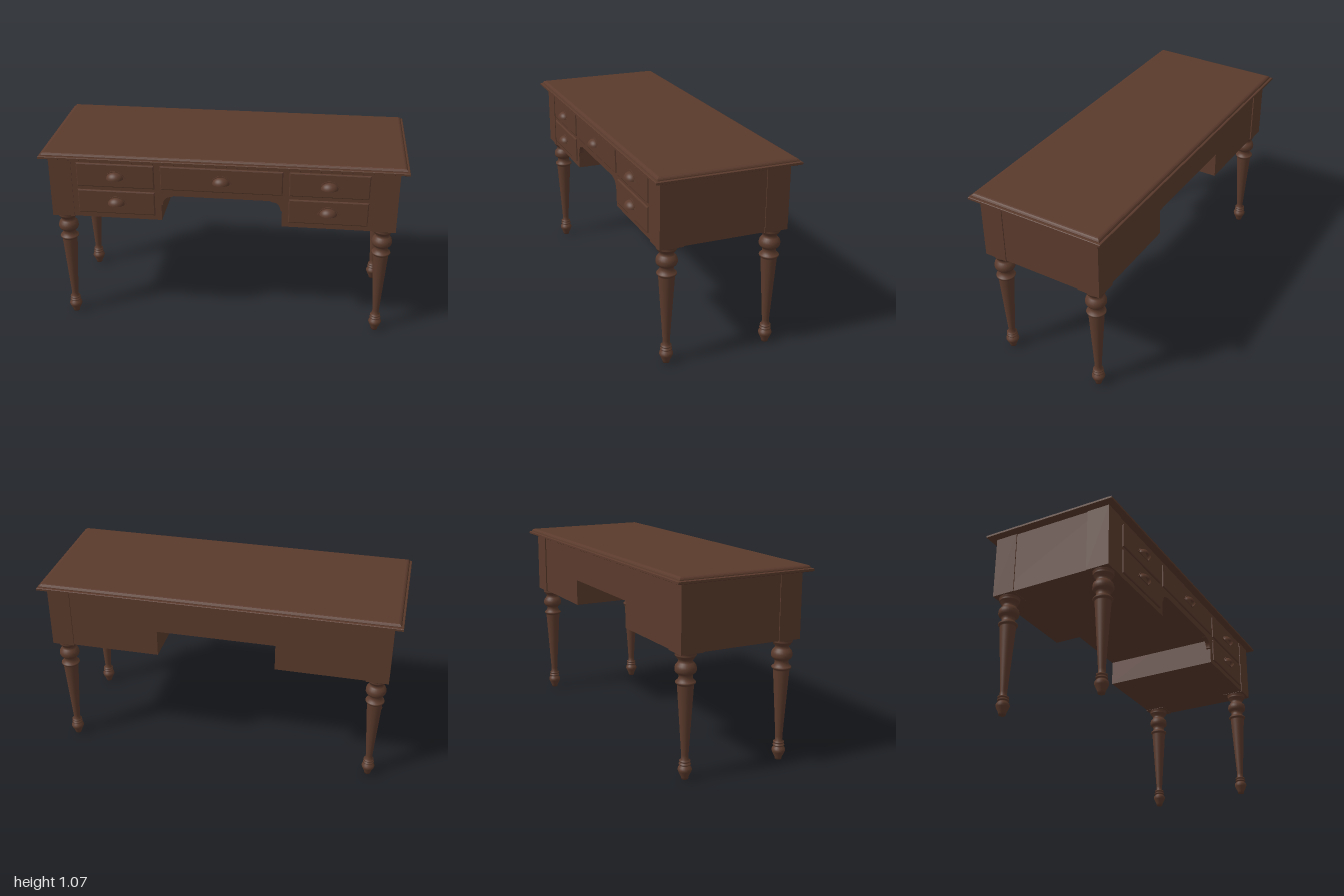
import * as THREE from 'three';

const wood = new THREE.MeshStandardMaterial({ color: 0x5a3a2c });
wood.name = 'darkWood';
const shellWood = new THREE.MeshStandardMaterial({ color: 0x5a3a2c, side: THREE.DoubleSide });
shellWood.name = 'darkWoodShell';

function add(parent, name, geometry, x = 0, y = 0, z = 0, material = wood) {
  const mesh = new THREE.Mesh(geometry, material);
  mesh.name = name;
  mesh.position.set(x, y, z);
  parent.add(mesh);
  return mesh;
}

// Box given by its limits on each axis
function addBox(parent, name, [x0, x1], [y0, y1], [z0, z1]) {
  return add(parent, name, new THREE.BoxGeometry(x1 - x0, y1 - y0, z1 - z0),
    (x0 + x1) / 2, (y0 + y1) / 2, (z0 + z1) / 2);
}

// Moulded slab: rectangular loops of [inset, y], mitred at the corners, capped at both ends
function mouldedSlab(halfX, halfZ, profile) {
  const pos = [];
  const loops = profile.map(([inset, y]) => {
    const x = halfX - inset, z = halfZ - inset;
    return [[-x, y, z], [x, y, z], [x, y, -z], [-x, y, -z]];
  });
  const quad = (a, b, c, d) => pos.push(...a, ...b, ...c, ...a, ...c, ...d);
  for (let i = 0; i < loops.length - 1; i++) {
    for (let k = 0; k < 4; k++) {
      const n = (k + 1) % 4;
      quad(loops[i][k], loops[i][n], loops[i + 1][n], loops[i + 1][k]);
    }
  }
  quad(...loops[loops.length - 1]);
  quad(...[...loops[0]].reverse());
  const geo = new THREE.BufferGeometry();
  geo.setAttribute('position', new THREE.Float32BufferAttribute(pos, 3));
  geo.computeVertexNormals();
  return geo;
}

// Turned leg, [radius, y] from foot to top
const legProfile = [
  [0, 0], [0.018, 0], [0.02, 0.012], [0.034, 0.042], [0.037, 0.052], [0.034, 0.064],
  [0.025, 0.072], [0.025, 0.076], [0.031, 0.079], [0.031, 0.084], [0.024, 0.088],
  [0.024, 0.092], [0.029, 0.095], [0.029, 0.101], [0.019, 0.106], [0.019, 0.13],
  [0.043, 0.5], [0.043, 0.506], [0.051, 0.511], [0.053, 0.516], [0.051, 0.521],
  [0.042, 0.526], [0.036, 0.54], [0.036, 0.552], [0.041, 0.56], [0.051, 0.567],
  [0.056, 0.578], [0.056, 0.592], [0.052, 0.606], [0.042, 0.617], [0.037, 0.624],
  [0.038, 0.635], [0.046, 0.641], [0.046, 0.647], [0.053, 0.652], [0.055, 0.658],
  [0.052, 0.664], [0.057, 0.669], [0.057, 0.678],
].map(([r, y]) => new THREE.Vector2(r, y));

// Raised drawer front with a softened edge
function drawerFront(w, h) {
  const b = 0.006;
  const s = new THREE.Shape();
  const x = w / 2 - b, y = h / 2 - b;
  s.moveTo(-x, -y).lineTo(x, -y).lineTo(x, y).lineTo(-x, y).closePath();
  return new THREE.ExtrudeGeometry(s, {
    depth: 0.006, bevelEnabled: true, bevelSize: b, bevelThickness: 0.006, bevelSegments: 2,
  });
}

// Cup pull: quarter dome shell on a thin half-oval plate
function cupPull() {
  const g = new THREE.Group();
  g.name = 'cupPull';
  const dome = add(g, 'pullDome',
    new THREE.SphereGeometry(1, 24, 10, 0, Math.PI, 0, Math.PI / 2), 0, 0, 0, shellWood);
  dome.scale.set(0.048, 0.038, 0.04);
  const s = new THREE.Shape();
  s.moveTo(-0.06, 0).lineTo(0.06, 0).lineTo(0.05, 0.012);
  for (let i = 1; i <= 11; i++) {
    const a = 0.2 + (i / 12) * (Math.PI - 0.4);
    s.lineTo(0.052 * Math.cos(a), 0.045 * Math.sin(a));
  }
  s.lineTo(-0.05, 0.012).closePath();
  add(g, 'pullPlate', new THREE.ExtrudeGeometry(s, { depth: 0.004, bevelEnabled: false }));
  return g;
}

// Front frame with a rounded kneehole opening
function frontFrame() {
  const s = new THREE.Shape();
  s.moveTo(-0.84, 0.676).lineTo(-0.333, 0.676).lineTo(-0.333, 0.768).lineTo(-0.325, 0.772);
  s.quadraticCurveTo(-0.322, 0.822, -0.272, 0.822).lineTo(-0.268, 0.828);
  s.lineTo(0.268, 0.828).lineTo(0.272, 0.822);
  s.quadraticCurveTo(0.322, 0.822, 0.325, 0.772).lineTo(0.333, 0.768);
  s.lineTo(0.333, 0.676).lineTo(0.84, 0.676).lineTo(0.84, 1.034).lineTo(-0.84, 1.034).closePath();
  return new THREE.ExtrudeGeometry(s, { depth: 0.025, bevelEnabled: false, curveSegments: 10 });
}

export function createModel() {
  const desk = new THREE.Group();
  desk.name = 'writingDesk';

  // Table top with stepped, rounded edge
  add(desk, 'tableTop', mouldedSlab(1, 0.394, [
    [0.006, 1.032], [0, 1.035], [0, 1.046], [0.003, 1.048], [0.012, 1.049], [0.013, 1.054],
    [0.017, 1.060], [0.023, 1.064], [0.03, 1.066],
  ]), 0, 0, -0.004);

  // Carcass: pedestals either side of an open kneehole, bridged above
  addBox(desk, 'kneeholeBridge', [-0.333, 0.333], [0.828, 1.033], [-0.35, 0.325]);
  for (const s of [-1, 1]) {
    const side = s > 0 ? 'left' : 'right';
    const xs = s > 0 ? [0.333, 0.95] : [-0.95, -0.333];
    addBox(desk, side + 'Pedestal', xs, [0.676, 1.033], [-0.35, 0.325]);
  }
  add(desk, 'frontFrame', frontFrame(), 0, 0, 0.322);

  // Corner posts and turned legs
  const legGeo = new THREE.LatheGeometry(legProfile, 28);
  for (const sx of [-1, 1]) {
    for (const sz of [-1, 1]) {
      const name = (sz > 0 ? 'front' : 'back') + (sx > 0 ? 'Left' : 'Right');
      add(desk, name + 'Post', new THREE.BoxGeometry(0.125, 0.359, 0.13),
        sx * 0.893, 0.8535, sz * 0.289 - 0.003);
      add(desk, name + 'Leg', legGeo, sx * 0.89, 0, sz * 0.29 - 0.0035);
    }
  }

  // Drawers: [name, x, bottom, width, height, pull height]
  const drawers = [['centreDrawer', 0, 0.866, 0.67, 0.14, 0.922]];
  for (const s of [-1, 1]) {
    const side = s > 0 ? 'left' : 'right';
    drawers.push([side + 'UpperDrawer', s * 0.585, 0.866, 0.432, 0.14, 0.922]);
    drawers.push([side + 'LowerDrawer', s * 0.585, 0.705, 0.432, 0.14, 0.767]);
  }
  for (const [name, x, y, w, h, pullY] of drawers) {
    add(desk, name, drawerFront(w, h), x, y + h / 2, 0.344);
    const pull = cupPull();
    pull.position.set(x, pullY, 0.356);
    desk.add(pull);
  }
  return desk;
}
